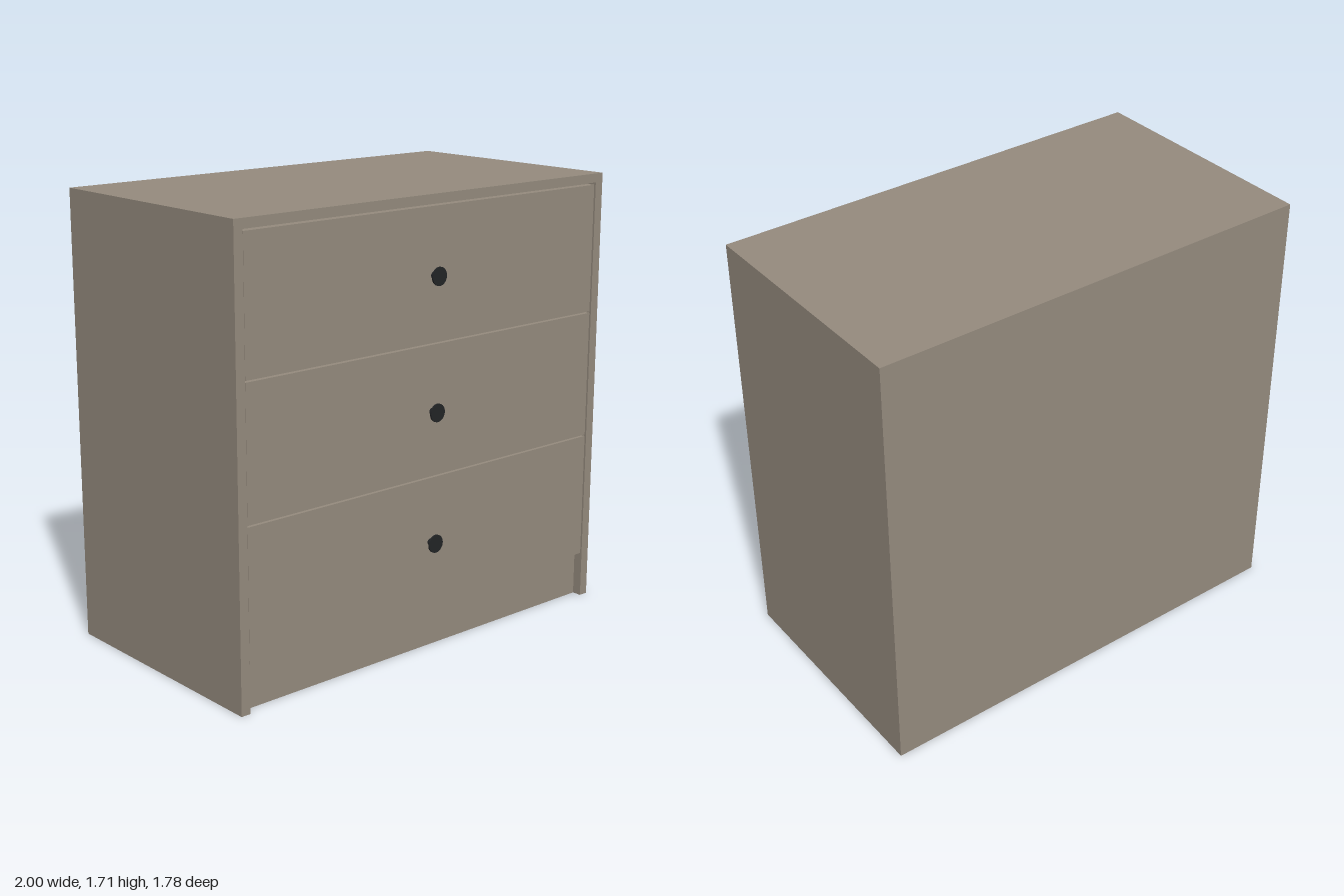
import * as THREE from 'three';

const W = 1.76, H = 1.705, D = 0.962; // overall cabinet size
const T = 0.037;                      // panel thickness
const FRONT = D / 2;

const wood = new THREE.MeshStandardMaterial({ color: 0x958b7e });
const dark = new THREE.MeshStandardMaterial({ color: 0x222426 });

// Box given by its centre x, bottom and top y, back and front z
function panel(name, width, x, y0, y1, z0, z1) {
  const mesh = new THREE.Mesh(new THREE.BoxGeometry(width, y1 - y0, z1 - z0), wood);
  mesh.position.set(x, (y0 + y1) / 2, (z0 + z1) / 2);
  mesh.name = name;
  return mesh;
}

// Round knob: small base, thin stem and flat disc, pointing along +z
function knob() {
  const profile = [
    [0, 0], [0.012, 0], [0.012, 0.004], [0.006, 0.004], [0.006, 0.027],
    [0.034, 0.027], [0.034, 0.033], [0, 0.033],
  ];
  const group = new THREE.Group();
  group.name = 'knob';
  // One lathe per profile segment keeps the edges sharp
  for (let i = 0; i < profile.length - 1; i++) {
    const pts = [profile[i], profile[i + 1]].map(([r, h]) => new THREE.Vector2(r, h));
    const mesh = new THREE.Mesh(new THREE.LatheGeometry(pts, 32), dark);
    mesh.rotation.x = Math.PI / 2;
    mesh.name = 'knobSurface';
    group.add(mesh);
  }
  return group;
}

export function createModel() {
  const model = new THREE.Group();
  model.name = 'chestOfDrawers';
  const inner = W - 2 * T;

  // Carcass: side panels, top board, back, and the set-back body with its plinth
  for (const s of [-1, 1]) {
    model.add(panel(s > 0 ? 'leftSide' : 'rightSide', T, s * (W - T) / 2, 0, H, -FRONT, FRONT));
  }
  model.add(panel('topBoard', inner, 0, H - 0.034, H, -FRONT, FRONT));
  model.add(panel('back', inner, 0, 0, H - 0.034, -FRONT, -FRONT + 0.02));
  model.add(panel('bodyAndPlinth', inner, 0, 0, H - 0.034, -FRONT + 0.02, FRONT - T));

  // Three equal drawer fronts, each with a central knob
  const face = FRONT - 0.004;
  for (let i = 0; i < 3; i++) {
    const y0 = 0.18 + i * 0.496, y1 = y0 + 0.49;
    const drawer = new THREE.Group();
    drawer.name = 'drawer' + (i + 1);
    drawer.add(panel('drawerFront', inner - 0.008, 0, y0, y1, FRONT - T, face));
    const k = knob();
    k.position.set(0, (y0 + y1) / 2, face);
    drawer.add(k);
    model.add(drawer);
  }

  // The cabinet stands turned on the floor
  model.rotation.y = 0.5875;
  const root = new THREE.Group();
  root.name = 'cabinet';
  root.add(model);
  return root;
}
